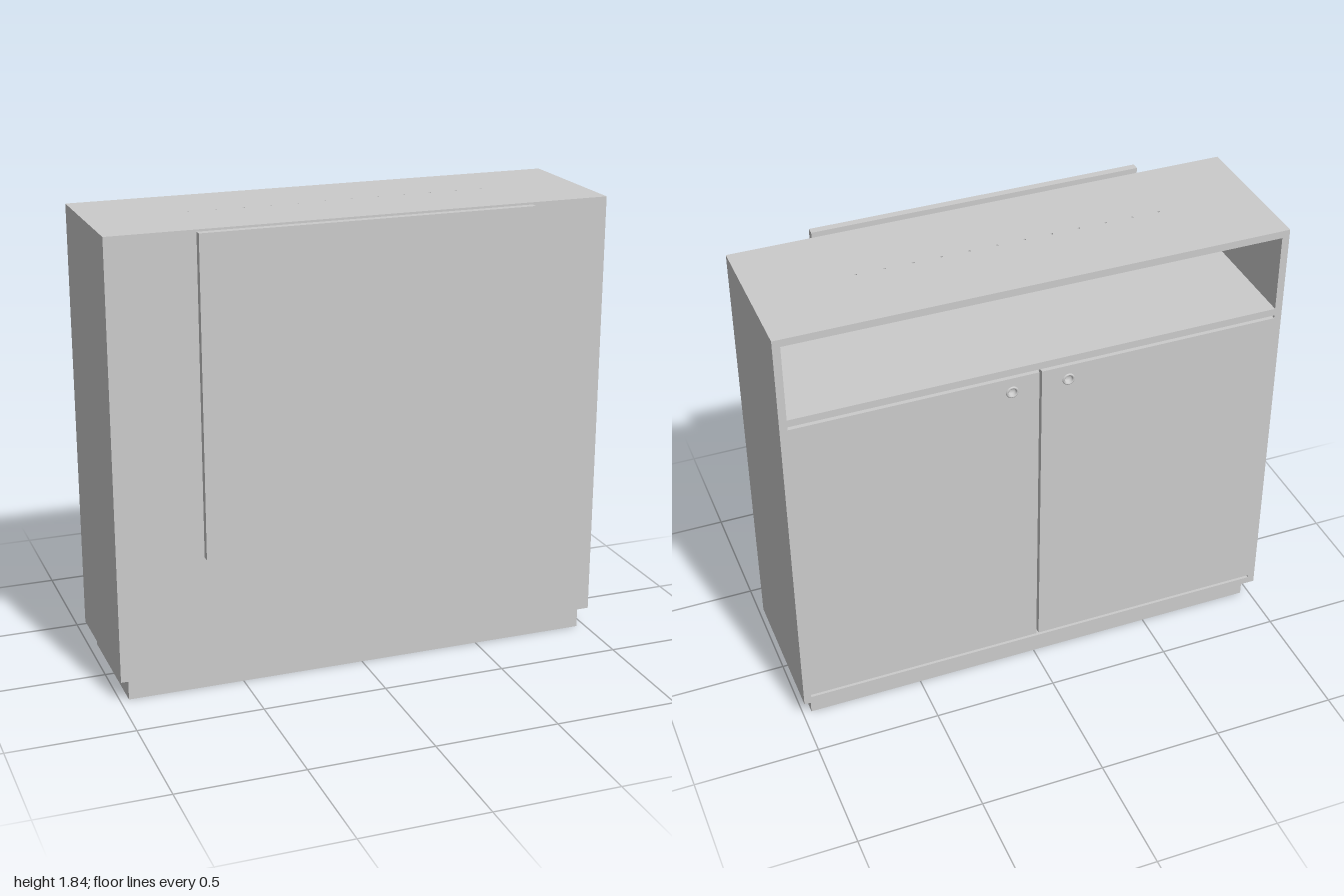
import * as THREE from 'three';

const material = new THREE.MeshStandardMaterial({ color: 0xcccccc });
const doubleMaterial = new THREE.MeshStandardMaterial({ color: 0xcccccc, side: THREE.DoubleSide });

// Box given by its limits on each axis
function board(name, [x0, x1], [y0, y1], [z0, z1]) {
  const mesh = new THREE.Mesh(new THREE.BoxGeometry(x1 - x0, y1 - y0, z1 - z0), material);
  mesh.name = name;
  mesh.position.set((x0 + x1) / 2, (y0 + y1) / 2, (z0 + z1) / 2);
  return mesh;
}

// Flat rectangle in XY with round holes, extruded along +z
function drilledPlate(name, [x0, x1], [y0, y1], depth, holes, segments) {
  const shape = new THREE.Shape();
  shape.moveTo(x0, y0).lineTo(x1, y0).lineTo(x1, y1).lineTo(x0, y1).closePath();
  for (const [x, y, r] of holes) {
    shape.holes.push(new THREE.Path().absarc(x, y, r, 0, Math.PI * 2, true));
  }
  const geometry = new THREE.ExtrudeGeometry(shape, { depth, bevelEnabled: false, curveSegments: segments });
  const mesh = new THREE.Mesh(geometry, material);
  mesh.name = name;
  return mesh;
}

export function createModel() {
  const model = new THREE.Group();
  model.name = 'counterCabinet';

  const t = 0.03; // board thickness
  const back = -0.33, front = 0.27, bottom = 0.09, top = 1.835;
  const inner = 1 - t;

  // Recessed plinth
  model.add(board('plinth', [-0.965, 0.965], [0, bottom], [-0.29, 0.243]));

  // Carcass boards
  model.add(board('bottomBoard', [-inner, inner], [bottom, bottom + t], [back, front - t]));
  model.add(board('nicheShelf', [-inner, inner], [1.46, 1.49], [back, front - t]));
  model.add(board('frontBoard', [-inner, inner], [bottom, top - t], [front - t, front]));
  for (const side of [-1, 1]) {
    const xs = side < 0 ? [-1, -inner] : [inner, 1];
    model.add(board(side < 0 ? 'rightSide' : 'leftSide', xs, [bottom, top - t], [back, front]));
  }

  // Top board with a row of small drilled holes
  const holes = [];
  const count = 12;
  for (let i = 0; i < count; i++) holes.push([-0.6 + (1.2 * i) / (count - 1), 0.03, 0.005]);
  const topBoard = drilledPlate('topBoard', [-1, 1], [-front, -back], t, holes, 6);
  topBoard.rotation.x = -Math.PI / 2;
  topBoard.position.y = top - t;
  model.add(topBoard);

  // Raised front panel on an inset spacer
  model.add(board('panelSpacer', [-0.645, 0.645], [0.592, 1.805], [front, 0.305]));
  model.add(board('frontPanel', [-0.665, 0.665], [0.575, top], [0.305, 0.335]));

  // Recessed cup pull: raised rim, sloped wall, flat floor
  const pullProfile = [
    [0.025, 0], [0.023, 0.004], [0.019, 0.005], [0.016, 0.002], [0.014, -0.012], [0, -0.012],
  ].map(([r, h]) => new THREE.Vector2(r, h));
  const pullGeometry = new THREE.LatheGeometry(pullProfile, 32);

  // Pair of doors with pulls on the back face
  for (const side of [-1, 1]) {
    const label = side < 0 ? 'right' : 'left';
    const xs = side < 0 ? [-inner, -0.005] : [0.005, inner];
    const x = side * 0.113, y = 1.385;
    const door = drilledPlate(label + 'Door', xs, [0.132, 1.447], t, [[x, y, 0.02]], 16);
    door.position.z = back;
    model.add(door);

    const pull = new THREE.Mesh(pullGeometry, doubleMaterial);
    pull.name = label + 'DoorPull';
    pull.rotation.x = -Math.PI / 2;
    pull.position.set(x, y, back);
    model.add(pull);
  }

  return model;
}
